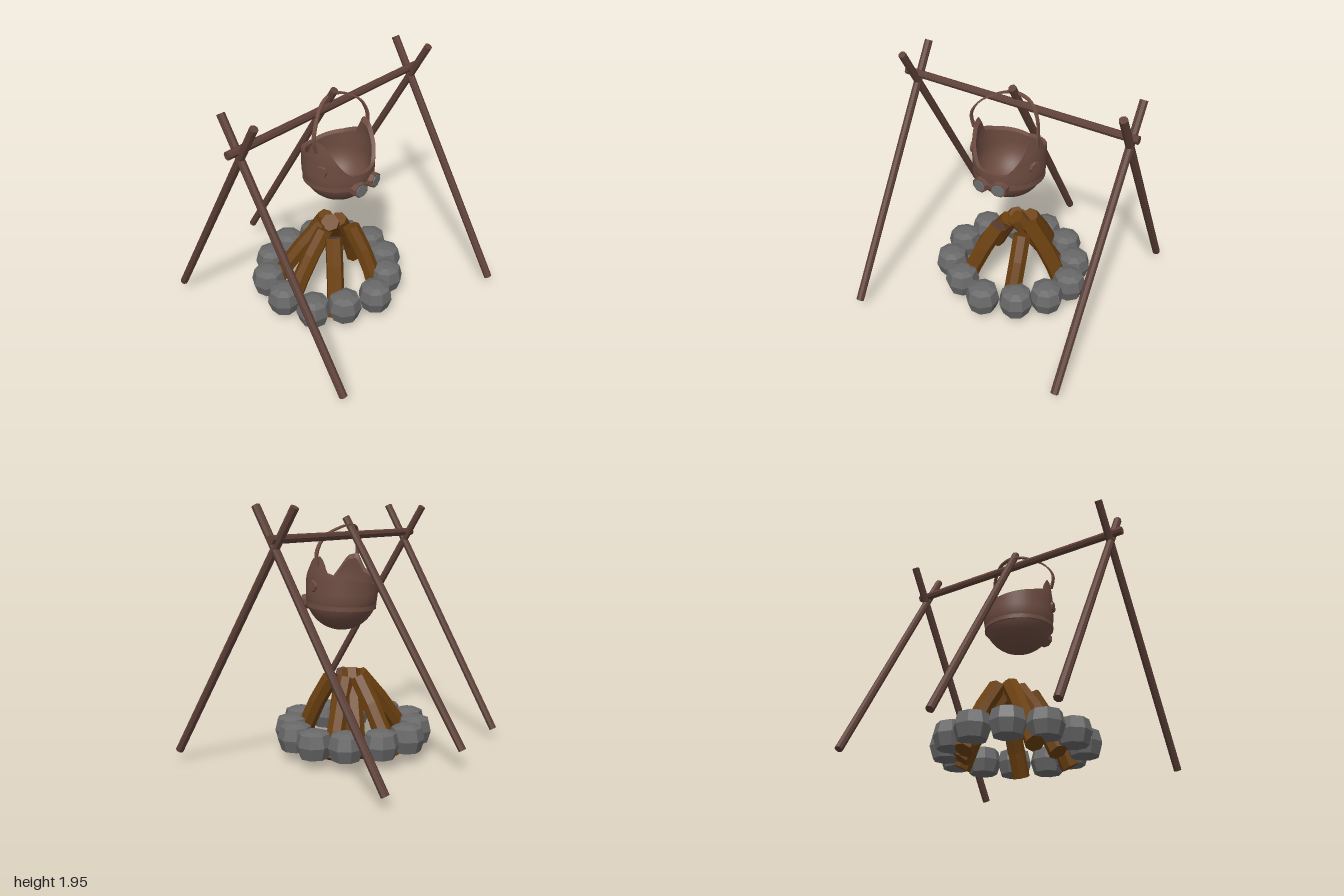
import * as THREE from 'three';
import { toCreasedNormals } from 'three/addons/utils/BufferGeometryUtils.js';
import { ParametricGeometry } from 'three/addons/geometries/ParametricGeometry.js';

const mat = (name, color, flatShading = false) => {
  const m = new THREE.MeshStandardMaterial({ color, flatShading });
  m.name = name;
  return m;
};

export function createModel() {
  const model = new THREE.Group();
  model.name = 'campfire';
  const poleWood = mat('poleWood', 0x5d4037, true);
  const leather = mat('leather', 0x6d4c41);
  const logWood = mat('logWood', 0x6b4010, true);
  const stone = mat('stone', 0x696969, true);
  const glass = mat('glass', 0x6b7070);

  const add = (name, geometry, material, parent = model) => {
    const mesh = new THREE.Mesh(geometry, material);
    mesh.name = name;
    parent.add(mesh);
    return mesh;
  };
  const group = (name) => {
    const g = new THREE.Group();
    g.name = name;
    model.add(g);
    return g;
  };
  const V = (x, y, z) => new THREE.Vector3(x, y, z);
  const UP = V(0, 1, 0);

  // Straight or bent bar from a to b
  function bar(name, a, b, radius, sides, bend, material, parent) {
    const d = b.clone().sub(a);
    const len = d.length();
    const geo = new THREE.CylinderGeometry(radius, radius, len, sides, bend ? 3 : 1);
    geo.applyQuaternion(new THREE.Quaternion().setFromUnitVectors(UP, d.normalize()));
    const mid = a.clone().add(b).multiplyScalar(0.5);
    const p = geo.attributes.position;
    const v = V(0, 0, 0);
    const out = V(mid.x, 0, mid.z).normalize();
    for (let i = 0; i < p.count && bend; i++) {
      v.fromBufferAttribute(p, i);
      const t = v.dot(d) / (len / 2);
      v.addScaledVector(out, bend * (1 - Math.min(1, t * t)));
      p.setXYZ(i, v.x, v.y, v.z);
    }
    geo.translate(mid.x, mid.y, mid.z);
    return add(name, geo, material, parent);
  }

  // Pole frame
  const frame = group('poleFrame');
  for (const x of [-0.885, 0.925]) {
    bar('frontPole', V(x, 0.07, 0.97), V(x, 1.915, -0.155), 0.031, 8, 0, poleWood, frame);
    bar('backPole', V(x, 0.075, -0.85), V(x, 1.925, 0.175), 0.031, 8, 0, poleWood, frame);
  }
  bar('rearProp', V(0, 0.15, -0.97), V(0, 1.835, 0.045), 0.031, 8, 0, poleWood, frame);
  bar('crossBar', V(-0.99, 1.7, 0.01), V(0.985, 1.7, 0.01), 0.031, 8, 0, poleWood, frame);

  // Ring of stones
  const ring = group('stoneRing');
  const profile = [[0, 0.07], [0.108, 0.07], [0.138, 0.165], [0.116, 0.255], [0.06, 0.277], [0, 0.28]]
    .map(([r, y]) => new THREE.Vector2(r, y));
  const stoneGeo = new THREE.LatheGeometry(profile, 8);
  const spots = [[0, -0.505], [0.245, -0.42], [0.43, -0.23], [0.51, 0], [0.43, 0.23], [0.25, 0.4],
    [0, 0.5], [-0.26, 0.405], [-0.46, 0.26], [-0.52, -0.01], [-0.45, -0.27], [-0.25, -0.44]];
  spots.forEach(([x, z]) => {
    const s = add('stone', stoneGeo, stone, ring);
    s.position.set(x, 0, z);
    s.rotation.y = Math.atan2(x, z) + Math.PI / 8;
  });

  // Leaning logs: foot x, z then top x, y, z
  const logs = group('logs');
  [
    [-0.29, 0.34, -0.085, 0.595, 0.12],
    [0.17, 0.37, 0.13, 0.59, 0.11],
    [0.4, -0.09, 0.12, 0.6, -0.02],
    [0.12, -0.44, 0.07, 0.61, -0.11],
    [-0.38, -0.3, -0.02, 0.62, -0.06],
    [-0.41, -0.04, -0.06, 0.6, 0.0],
  ].forEach(([fx, fz, tx, ty, tz], i) => {
    const log = bar('log', V(fx, 0.035, fz), V(tx, ty, tz), 0.07, 7, 0.025, logWood, logs);
    if (i === 0) log.material = [logWood, poleWood, logWood];
  });
  bar('centreLog', V(0.3, 0.05, -0.24), V(0.0, 0.64, 0.0), 0.075, 7, 0.02, logWood, logs);

  // Leather pot: a bowl whose rim rises into two side flaps
  const pot = group('pot');
  const CY = 1.24, CZ = 0.085, R = 0.28;
  const rim = [[0, 1.275], [28, 1.28], [38, 1.33], [52, 1.42], [68, 1.53], [88, 1.55], [99, 1.43],
    [125, 1.385], [180, 1.335]];
  const rimHeight = (a) => {
    let k = 0;
    while (k < rim.length - 2 && a > rim[k + 1][0]) k++;
    const [a0, h0] = rim[k], [a1, h1] = rim[k + 1];
    return h0 + (h1 - h0) * (a - a0) / (a1 - a0);
  };
  const bowl = new ParametricGeometry((u, v, target) => {
    const a = (u - 0.5) * Math.PI * 2;
    const inside = v > 0.5;
    const s = inside ? 2 * (1 - v) : 2 * v;
    const r0 = inside ? R - 0.03 : R;
    const h = rimHeight(Math.abs(a) * 180 / Math.PI);
    let r = r0, y;
    if (s < 0.6) {
      const phi = s / 0.6 * Math.PI / 2;
      r = r0 * Math.sin(phi);
      y = CY - r0 * Math.cos(phi);
    } else {
      y = CY + (h - CY) * (s - 0.6) / 0.4;
      r = r0 - 0.12 * Math.max(0, y - 1.4);
    }
    target.set(Math.sin(a) * r, y, CZ + Math.cos(a) * r);
  }, 72, 40);
  add('bowl', toCreasedNormals(bowl, 0.6), leather, pot);

  // Closed strip of rectangular section following a centre line
  function strap(name, point, steps, width, thick, side, normal) {
    const corners = [[-1, -1], [1, -1], [1, 1], [-1, 1]];
    const pos = [], idx = [];
    for (let i = 0; i <= steps; i++) {
      const t = i / steps, c = point(t), w = side(t), n = normal(t);
      for (const [p, q] of corners) {
        const k = c.clone().addScaledVector(w, p * width / 2).addScaledVector(n, q * thick / 2);
        pos.push(k.x, k.y, k.z);
      }
      for (let j = 0; j < 4 && i < steps; j++) {
        const a = i * 4 + j, b = i * 4 + (j + 1) % 4;
        idx.push(a, b, a + 4, b, b + 4, a + 4);
      }
    }
    const geo = new THREE.BufferGeometry();
    geo.setAttribute('position', new THREE.Float32BufferAttribute(pos, 3));
    geo.setIndex(idx);
    const mesh = add(name, toCreasedNormals(geo, 0.6), strapLeather, pot);
    return mesh;
  }
  const strapLeather = mat('strapLeather', 0x6d4c41);
  strapLeather.side = THREE.DoubleSide;

  // Carrying strap over the cross bar
  const arch = new THREE.CatmullRomCurve3([
    V(-0.285, 1.47, 0.13), V(-0.305, 1.58, 0.13), V(-0.25, 1.68, 0.1), V(-0.12, 1.755, 0.03),
    V(0, 1.78, 0), V(0.13, 1.76, 0.02), V(0.235, 1.69, 0.09), V(0.272, 1.58, 0.13), V(0.272, 1.47, 0.13),
  ]);
  const depth = V(0, 0, 1);
  strap('carryStrap', (t) => arch.getPoint(t), 28, 0.03, 0.012, () => depth,
    (t) => arch.getTangent(t).cross(depth).normalize());

  // Goggle strap around the bowl
  const ringDir = (t) => V(Math.sin(t * Math.PI * 2), 0, Math.cos(t * Math.PI * 2));
  strap('goggleStrap', (t) => {
    const y = 1.16 + 0.015 * Math.cos(t * Math.PI * 2);
    return ringDir(t).multiplyScalar(Math.sqrt(R * R - (y - CY) ** 2) + 0.001).add(V(0, y, CZ));
  }, 48, 0.035, 0.012, () => UP, ringDir);

  // Goggles
  [[-0.07, 1.16], [0.085, 1.175]].forEach(([x, y]) => {
    const eye = new THREE.Group();
    eye.name = 'goggle';
    eye.position.set(x, y, 0.36);
    eye.rotation.y = x * 2;
    pot.add(eye);
    const disc = (name, r, h, z, material) => {
      const geo = new THREE.CylinderGeometry(r, r * 1.06, h, 8);
      geo.rotateY(Math.PI / 8).rotateX(Math.PI / 2).scale(1.08, 0.95, 1).translate(0, 0, z);
      add(name, toCreasedNormals(geo, 0.5), material, eye);
    };
    disc('goggleFrame', 0.06, 0.06, 0, leather);
    disc('goggleLens', 0.047, 0.008, 0.031, glass);
  });
  const bridge = add('goggleBridge', new THREE.BoxGeometry(0.06, 0.025, 0.03), leather, pot);
  bridge.position.set(0.007, 1.17, 0.36);

  // Round patches on the side flaps
  for (const s of [-1, 1]) {
    const geo = new THREE.CylinderGeometry(0.042, 0.05, 0.03, 8);
    geo.rotateZ(-s * Math.PI / 2).rotateY(-s * 0.3);
    const patch = add('flapPatch', toCreasedNormals(geo, 0.5), leather, pot);
    patch.position.set(s * 0.268, 1.32, 0.17);
  }
  return model;
}
